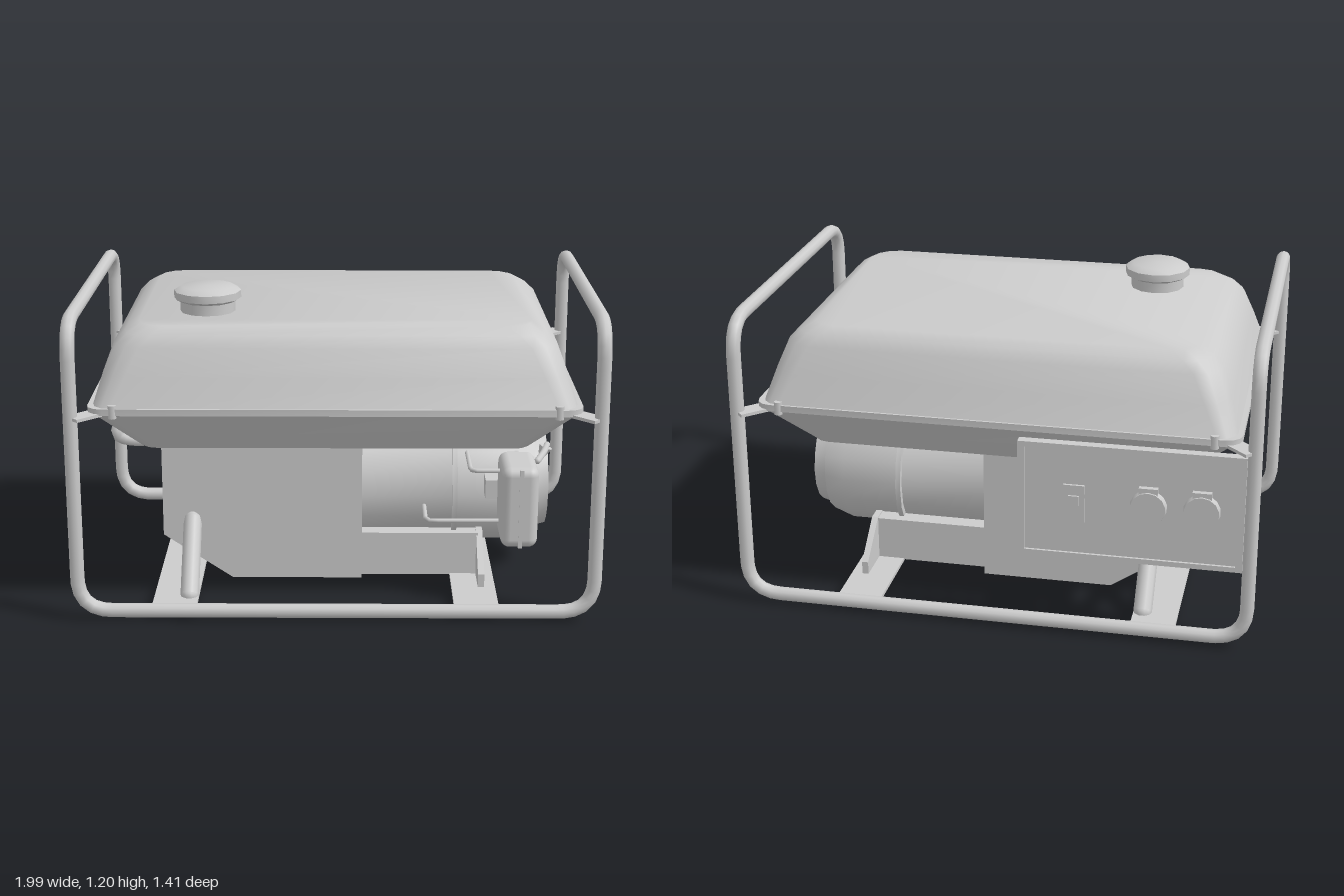
import * as THREE from 'three';
import { toCreasedNormals } from 'three/addons/utils/BufferGeometryUtils.js';
import { RoundedBoxGeometry } from 'three/addons/geometries/RoundedBoxGeometry.js';

const grey = new THREE.MeshStandardMaterial({ color: 0xcccccc });
const V = (x, y, z) => new THREE.Vector3(x, y, z);

export function createModel() {
  const model = new THREE.Group();

  function add(name, geometry, x = 0, y = 0, z = 0) {
    const mesh = new THREE.Mesh(geometry, grey);
    mesh.name = name;
    mesh.position.set(x, y, z);
    model.add(mesh);
    return mesh;
  }

  // Box given by its extents on each axis
  const box = (name, x0, x1, y0, y1, z0, z1) =>
    add(name, new THREE.BoxGeometry(x1 - x0, y1 - y0, z1 - z0), (x0 + x1) / 2, (y0 + y1) / 2, (z0 + z1) / 2);

  // Bent pipe: straight runs joined by rounded corners
  function pipe(name, pts, radius, bend, segments, closed = false) {
    const path = new THREE.CurvePath();
    const n = pts.length;
    const toward = (a, b) => a.clone().add(b.clone().sub(a).setLength(Math.min(bend, a.distanceTo(b) * 0.48)));
    let last = closed ? toward(pts[0], pts[1]) : pts[0];
    for (let i = 1; i <= (closed ? n : n - 2); i++) {
      const p = pts[i % n];
      const a = toward(p, pts[i - 1]);
      const b = toward(p, pts[(i + 1) % n]);
      path.add(new THREE.LineCurve3(last, a));
      path.add(new THREE.QuadraticBezierCurve3(a, p, b));
      last = b;
    }
    if (!closed) path.add(new THREE.LineCurve3(last, pts[n - 1]));
    add(name, new THREE.TubeGeometry(path, segments, radius, 10, closed));
    if (closed) return;
    for (const end of [pts[0], pts[n - 1]]) add(name + 'End', new THREE.SphereGeometry(radius, 10, 6), end.x, end.y, end.z);
  }

  // Stack of rounded rectangles [y, halfX, halfZ, cornerRadius], closed at both ends
  function loft(sections, steps = 3) {
    const pos = [], index = [], corners = [[1, 1], [-1, 1], [-1, -1], [1, -1]];
    const count = 4 * (steps + 1);
    for (const [y, hx, hz, r] of sections) {
      corners.forEach(([sx, sz], c) => {
        for (let k = 0; k <= steps; k++) {
          const a = (c + k / steps) * Math.PI / 2;
          pos.push(sx * (hx - r) + r * Math.cos(a), y, sz * (hz - r) + r * Math.sin(a));
        }
      });
    }
    for (let s = 0; s < sections.length - 1; s++) {
      for (let i = 0; i < count; i++) {
        const a = s * count + i, b = s * count + (i + 1) % count;
        index.push(a, a + count, b, b, a + count, b + count);
      }
    }
    const top = (sections.length - 1) * count;
    for (let i = 1; i < count - 1; i++) {
      index.push(0, i, i + 1, top, top + i + 1, top + i);
    }
    const g = new THREE.BufferGeometry();
    g.setAttribute('position', new THREE.Float32BufferAttribute(pos, 3));
    g.setIndex(index);
    return toCreasedNormals(g, 0.75);
  }

  // Flat outline extruded by a depth and centred on it
  function plate(points, depth) {
    const g = new THREE.ExtrudeGeometry(new THREE.Shape(points.map(p => new THREE.Vector2(...p))), { depth, bevelEnabled: false });
    return g.translate(0, 0, -depth / 2);
  }

  // Carrying frame: one continuous loop of pipe
  const X = 0.97, F = 0.667, B = -0.652, LOW = 0.037, HIGH = 1.148;
  pipe('frame', [
    V(-X, LOW, F), V(X, LOW, F), V(X, HIGH, F), V(X, HIGH, B),
    V(X, LOW, B), V(-X, LOW, B), V(-X, HIGH, B), V(-X, HIGH, F),
  ], 0.027, 0.13, 280, true);

  // Floor strips between the bottom rails
  box('floorStrip', 0.45, 0.62, 0.02, 0.034, B, F);
  box('floorStrip', -0.7, -0.53, 0.02, 0.034, B, F);

  // Fuel tank: tapered lower pan, seam flange, domed upper shell
  const tank = [
    ['tankLower', [[0.635, 0.73, 0.515, 0.06], [0.66, 0.765, 0.535, 0.08], [0.795, 0.9, 0.63, 0.06]]],
    ['tankFlange', [[0.795, 0.915, 0.635, 0.06], [0.82, 0.915, 0.635, 0.06]]],
    ['tankUpper', [[0.815, 0.897, 0.628, 0.07], [0.93, 0.862, 0.585, 0.09], [1.03, 0.825, 0.546, 0.1],
      [1.07, 0.785, 0.526, 0.1], [1.1, 0.735, 0.49, 0.1]]],
  ];
  for (const [name, sections] of tank) add(name, loft(sections), -0.003, 0, 0.009);

  // Corner tabs and bolts that hang the tank in the frame
  for (const sx of [-1, 1]) {
    for (const sz of [-1, 1]) {
      const tab = add('tankTab', new THREE.BoxGeometry(0.15, 0.012, 0.07), sx * 0.91, 0.795, sz * 0.625 + 0.008);
      tab.rotation.y = -sx * sz * Math.PI / 4;
      add('tankBolt', new THREE.CylinderGeometry(0.016, 0.016, 0.05, 8), sx * 0.82, 0.808, sz * 0.625 + 0.008);
    }
  }

  // Filler neck and cap
  add('fillerNeck', toCreasedNormals(new THREE.CylinderGeometry(0.105, 0.105, 0.07, 12), 0.6), -0.492, 1.12, 0.247);
  const capProfile = [[0, 1.14], [0.105, 1.14], [0.128, 1.152], [0.128, 1.18], [0.1, 1.197], [0, 1.198]];
  add('fillerCap', toCreasedNormals(new THREE.LatheGeometry(capProfile.map(p => new THREE.Vector2(...p)), 12), 0.6), -0.492, 0, 0.247);

  // Engine housing with one bevelled lower corner, plus front and rear covers
  const side = (e) => [[-0.68 + e, 0.21], [-0.41, 0.03 + e], [0.1 - e, 0.03 + e], [0.1 - e, 0.65], [-0.68 + e, 0.65]];
  add('engineBlock', plate(side(0.012), 0.6));
  for (const z of [0.302, -0.302]) add('engineCover', plate(side(0), 0.03), 0, 0, z);

  // Slanted engine legs
  for (const s of [-1, 1]) {
    pipe('engineLeg', [V(-0.565, 0.275, s * 0.3), V(-0.565, 0.16, s * 0.4), V(-0.565, 0.035, s * 0.51)], 0.036, 0.03, 8);
  }

  // Alternator: turned body lying along x
  const turned = [[0.08, 0], [0.08, 0.255], [0.455, 0.255], [0.455, 0.28], [0.475, 0.28], [0.475, 0.255], [0.7, 0.255],
    [0.785, 0.225], [0.785, 0.205], [0.84, 0.19], [0.84, 0.175], [0.835, 0]];
  const alternator = new THREE.LatheGeometry(turned.map(([x, r]) => new THREE.Vector2(r, x)), 18);
  alternator.rotateZ(-Math.PI / 2);
  add('alternator', toCreasedNormals(alternator, 0.5), 0, 0.353, 0.012);

  // Alternator cradle and gusseted end plate
  box('cradle', 0.09, 0.56, 0.03, 0.205, -0.26, 0.28);
  const gusset = plate([[-0.42, 0.03], [0.42, 0.03], [0.42, 0.085], [0.26, 0.21], [-0.26, 0.21], [-0.42, 0.085]], 0.025);
  add('cradleEndPlate', gusset.rotateY(Math.PI / 2), 0.565, 0, 0);

  // Air filter box, its inlet and wire stays
  add('airFilter', new RoundedBoxGeometry(0.14, 0.32, 0.243, 3, 0.035), 0.695, 0.405, 0.438);
  box('filterSeam', 0.69, 0.705, 0.25, 0.56, 0.315, 0.562);
  box('filterInlet', 0.58, 0.66, 0.37, 0.445, 0.2, 0.34);
  pipe('filterStay', [V(0.345, 0.312, 0.2), V(0.345, 0.312, 0.43), V(0.66, 0.312, 0.43)], 0.009, 0.03, 16);
  pipe('filterStay', [V(0.515, 0.515, 0.18), V(0.515, 0.515, 0.43), V(0.66, 0.515, 0.43)], 0.009, 0.03, 16);

  // Pull-start handle and its cord guide
  pipe('starterHandle', [V(0.78, 0.52, 0.32), V(0.815, 0.522, 0.22), V(0.84, 0.515, 0.1)], 0.013, 0.04, 12);
  const guide = add('starterGuide', new THREE.ConeGeometry(0.028, 0.08, 8), 0.815, 0.485, 0.145);
  guide.rotation.z = Math.PI - 0.4;

  // Exhaust pipe looping out of the engine side towards the rear
  pipe('exhaust', [
    V(-0.66, 0.47, -0.16), V(-0.83, 0.455, -0.13), V(-0.91, 0.49, -0.08),
    V(-0.895, 0.54, -0.1), V(-0.79, 0.575, -0.64),
  ], 0.028, 0.05, 40);

  // Control panel with raised border and a support strip to the engine
  box('controlPanel', -0.945, -0.11, 0.325, 0.78, -0.672, -0.655);
  for (const x of [-0.945, -0.135]) box('panelBorder', x, x + 0.025, 0.325, 0.78, -0.682, -0.645);
  for (const y of [0.325, 0.76]) box('panelBorder', -0.945, -0.11, y, y + 0.02, -0.682, -0.645);
  box('panelSupport', -0.4, -0.2, 0.31, 0.325, -0.66, -0.3);

  // Switch and two round outlets with hinged lids
  box('switchPlate', -0.36, -0.28, 0.47, 0.62, -0.682, -0.665);
  box('switchRocker', -0.34, -0.3, 0.51, 0.58, -0.69, -0.67);
  for (const x of [-0.79, -0.595]) {
    const lid = add('outletLid', toCreasedNormals(new THREE.CylinderGeometry(0.065, 0.07, 0.035, 14), 0.6), x, 0.555, -0.681);
    lid.rotation.x = -Math.PI / 2;
    box('outletHinge', x - 0.035, x + 0.035, 0.6, 0.635, -0.693, -0.665);
  }

  return model;
}
